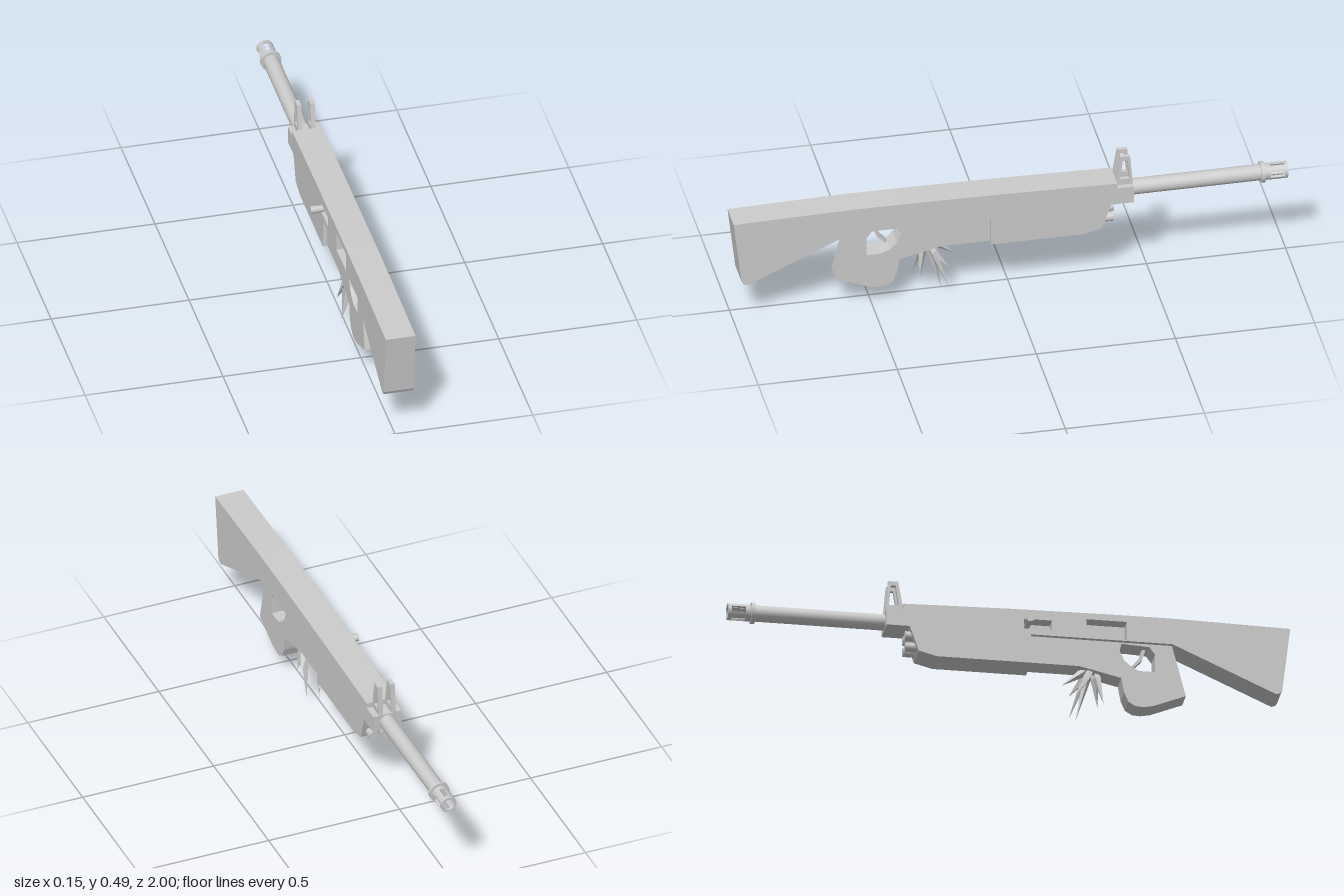
import * as THREE from 'three';

const CX = 0.021; // centre line of the body

export function createModel() {
  const root = new THREE.Group();
  const mat = new THREE.MeshStandardMaterial({ color: 0xcccccc, side: THREE.DoubleSide });
  const flat = mat.clone();
  flat.flatShading = true;

  const add = (name, geo, m = mat) => {
    const mesh = new THREE.Mesh(geo, m);
    mesh.name = name;
    root.add(mesh);
    return mesh;
  };
  const vecs = (pts) => pts.map(([a, b]) => new THREE.Vector2(a, b));

  // Side profile given as (z, y), extruded between two x positions
  const plate = (name, pts, x0, x1, holes = []) => {
    const shape = new THREE.Shape(vecs(pts));
    holes.forEach((h) => shape.holes.push(new THREE.Path(vecs(h))));
    const geo = new THREE.ExtrudeGeometry(shape, { depth: x1 - x0, bevelEnabled: false });
    geo.rotateY(-Math.PI / 2).translate(x1, 0, 0);
    return add(name, geo, flat);
  };
  const rect = (z0, z1, y0, y1) => [[z0, y0], [z1, y0], [z1, y1], [z0, y1]];

  // Cylinder along z, from z0 towards z1
  const rod = (name, x, y, z0, z1, r, open = false) => {
    const geo = new THREE.CylinderGeometry(r, r, Math.abs(z1 - z0), 20, 1, open);
    geo.rotateX(Math.PI / 2).translate(x, y, (z0 + z1) / 2);
    return add(name, geo);
  };

  // Stock and body: solid half plus a slab with the ejection port and handle slot
  const body = [
    [1, 0.404], [0.972, 0.165], [0.965, 0.152], [0.95, 0.147], [0.58, 0.313],
    [-0.38, 0.313], [-0.38, 0.398], [0, 0.407], [0.4, 0.412], [0.6, 0.412],
  ];
  plate('bodyCore', body, 0.015, 0.075);
  plate('bodyPortSide', body, -0.033, 0.015, [
    rect(0.274, 0.417, 0.318, 0.387),
    rect(0.05, 0.15, 0.335, 0.372),
  ]);
  plate('frontBlock', rect(-0.44, -0.38, 0.313, 0.378), -0.033, 0.075);

  // Fore-end
  plate('foreEnd', [
    [0.075, 0.313], [0.075, 0.203], [-0.26, 0.203], [-0.325, 0.22], [-0.357, 0.313],
  ], -0.033, 0.075);

  // Narrower receiver with grip and trigger opening
  plate('gripReceiver', [
    [0.58, 0.315], [0.63, 0.122], [0.515, 0.075], [0.48, 0.068], [0.45, 0.07],
    [0.425, 0.085], [0.41, 0.12], [0.4, 0.175], [0.25, 0.21], [0.075, 0.21], [0.075, 0.315],
  ], -0.018, 0.06, [[
    [0.52, 0.207], [0.52, 0.275], [0.5, 0.302], [0.4, 0.308], [0.394, 0.28],
    [0.41, 0.245], [0.435, 0.22], [0.465, 0.207],
  ]]);
  plate('trigger', [
    [0.495, 0.315], [0.48, 0.315], [0.468, 0.27], [0.44, 0.236], [0.446, 0.23], [0.478, 0.262],
  ], 0.011, 0.031);

  // Bolt handle, flaring outwards
  const handle = new THREE.CylinderGeometry(0.015, 0.009, 0.092, 16);
  handle.rotateZ(Math.PI / 2).translate(-0.031, 0.358, 0.066);
  add('boltHandle', handle);

  // Pair of sight frames
  for (const x of [-0.011, 0.037]) {
    plate('sight', [
      [-0.375, 0.375], [-0.395, 0.492], [-0.43, 0.492], [-0.44, 0.375],
    ], x, x + 0.016, [
      [[-0.393, 0.4], [-0.404, 0.476], [-0.421, 0.476], [-0.428, 0.4]],
    ]);
  }

  // Four short tubes at the end of the fore-end
  for (const x of [CX - 0.022, CX + 0.022]) {
    for (const y of [0.288, 0.245]) rod('frontTube', x, y, -0.3, -0.37, 0.017);
  }

  // Barrel, collar and hollow slotted muzzle
  const BY = 0.345;
  rod('barrel', CX, BY, -0.42, -0.925, 0.029);
  rod('collar', CX, BY, -0.903, -0.917, 0.038);
  const ring = (name, a0, a1, z0, z1) => {
    const shape = new THREE.Shape();
    shape.absarc(0, 0, 0.03, a0, a1, false);
    if (a1 - a0 > 6) {
      shape.holes.push(new THREE.Path().absarc(0, 0, 0.022, 0, Math.PI * 2, true));
    } else {
      shape.absarc(0, 0, 0.022, a1, a0, true);
    }
    const geo = new THREE.ExtrudeGeometry(shape, { depth: z1 - z0, bevelEnabled: false, curveSegments: 12 });
    add(name, geo.translate(CX, BY, z0));
  };
  ring('muzzleTip', 0, Math.PI * 2, -1, -0.988);
  ring('muzzleBase', 0, Math.PI * 2, -0.937, -0.92);
  for (let i = 0; i < 4; i++) {
    const a = Math.PI / 4 + (i * Math.PI) / 2;
    ring('muzzleRib', a - 0.4, a + 0.4, -0.99, -0.935);
  }

  // Cluster of pointed spikes below the receiver: base and tip of each
  const spikes = [
    [[0.0, 0.19, 0.285], [-0.005, 0.002, 0.238]],
    [[0.035, 0.19, 0.28], [0.052, 0.032, 0.222]],
    [[0.01, 0.19, 0.315], [-0.03, 0.062, 0.335]],
    [[0.03, 0.2, 0.31], [0.045, 0.08, 0.325]],
    [[0.04, 0.195, 0.28], [0.073, 0.128, 0.225]],
    [[0.01, 0.2, 0.27], [0.0, 0.138, 0.19]],
    [[0.0, 0.19, 0.29], [-0.022, 0.09, 0.235]],
  ];
  const up = new THREE.Vector3(0, 1, 0);
  for (const [b, t] of spikes) {
    const base = new THREE.Vector3(...b);
    const dir = new THREE.Vector3(...t).sub(base);
    const len = dir.length();
    // Diamond section: long point forward, short point back to the root
    const geo = new THREE.LatheGeometry(vecs([[0, -0.04], [0.015, 0.015], [0, len]]), 4);
    const spike = add('spike', geo, flat);
    spike.position.copy(base);
    spike.quaternion.setFromUnitVectors(up, dir.normalize());
  }

  return root;
}
